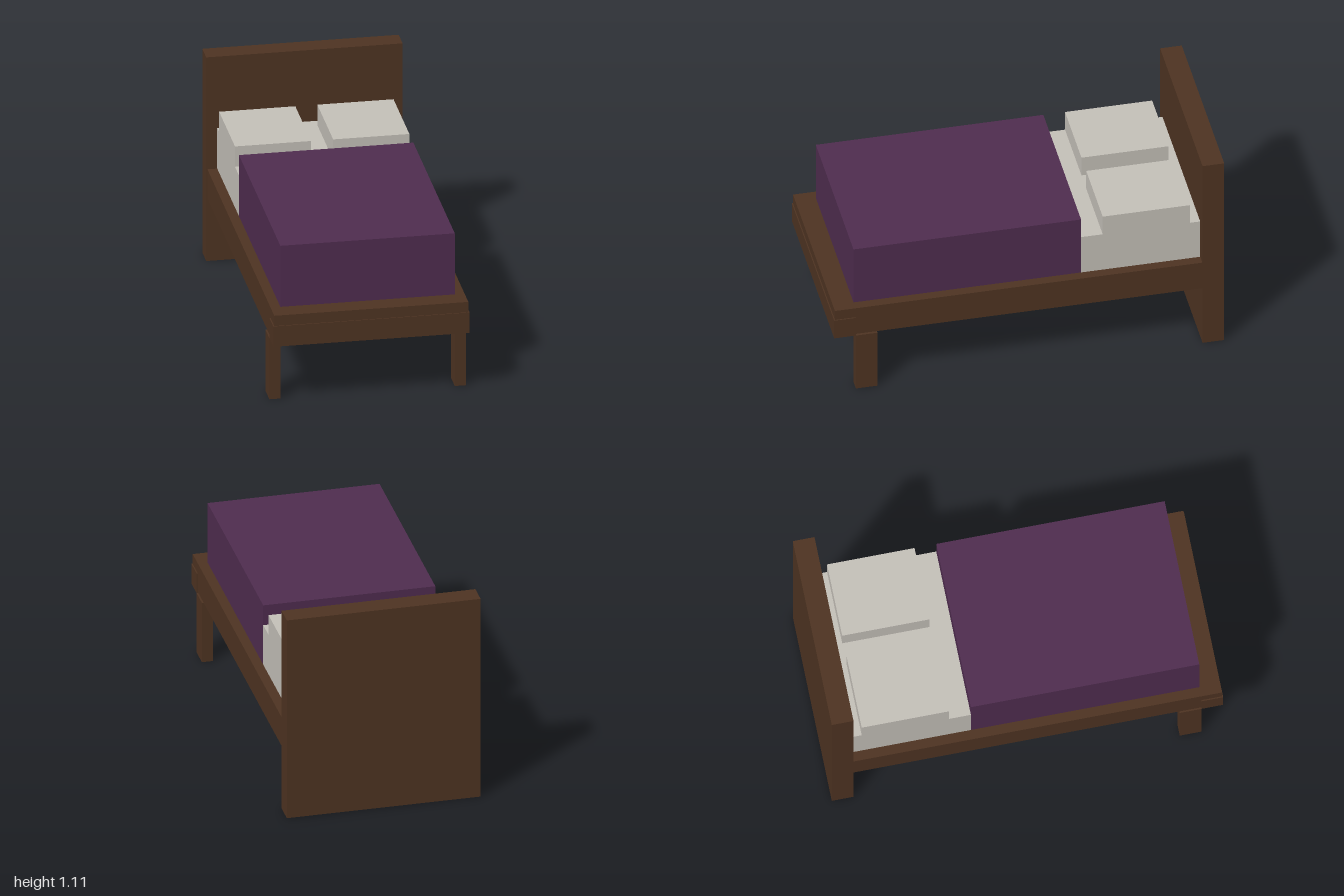
import * as THREE from 'three';

export function createModel() {
  const bed = new THREE.Group();
  bed.name = 'bed';

  const material = (name, color) => {
    const m = new THREE.MeshStandardMaterial({ color });
    m.name = name;
    return m;
  };
  const wood = material('dark wood', 0x4f3422);
  const linen = material('off-white linen', 0xc6c2ba);
  const cloth = material('purple cloth', 0x502d50);

  // Box given by its extents along each axis
  const box = (name, mat, [x0, x1], [y0, y1], [z0, z1]) => {
    const mesh = new THREE.Mesh(new THREE.BoxGeometry(x1 - x0, y1 - y0, z1 - z0), mat);
    mesh.position.set((x0 + x1) / 2, (y0 + y1) / 2, (z0 + z1) / 2);
    mesh.name = name;
    bed.add(mesh);
  };

  // Wooden frame
  box('headboard', wood, [-0.5, 0.5], [0, 1.111], [-1, -0.889]);
  box('bedFrame', wood, [-0.494, 0.494], [0.339, 0.5], [-0.889, 0.995]);
  box('footRail', wood, [-0.5, 0.5], [0.333, 0.444], [0.889, 1]);

  // Bedding
  box('mattress', linen, [-0.444, 0.444], [0.5, 0.722], [-0.889, -0.278]);
  box('blanket', cloth, [-0.444, 0.444], [0.5, 0.833], [-0.278, 0.889]);

  // Mirrored front legs and pillows
  for (const [side, s] of [['left', 1], ['right', -1]]) {
    const span = (a, b) => (s > 0 ? [a, b] : [-b, -a]);
    box(side + 'FrontLeg', wood, span(0.444, 0.5), [0, 0.333], [0.778, 0.889]);
    box(side + 'Pillow', linen, span(0.056, 0.444), [0.722, 0.833], [-0.836, -0.389]);
  }

  return bed;
}
